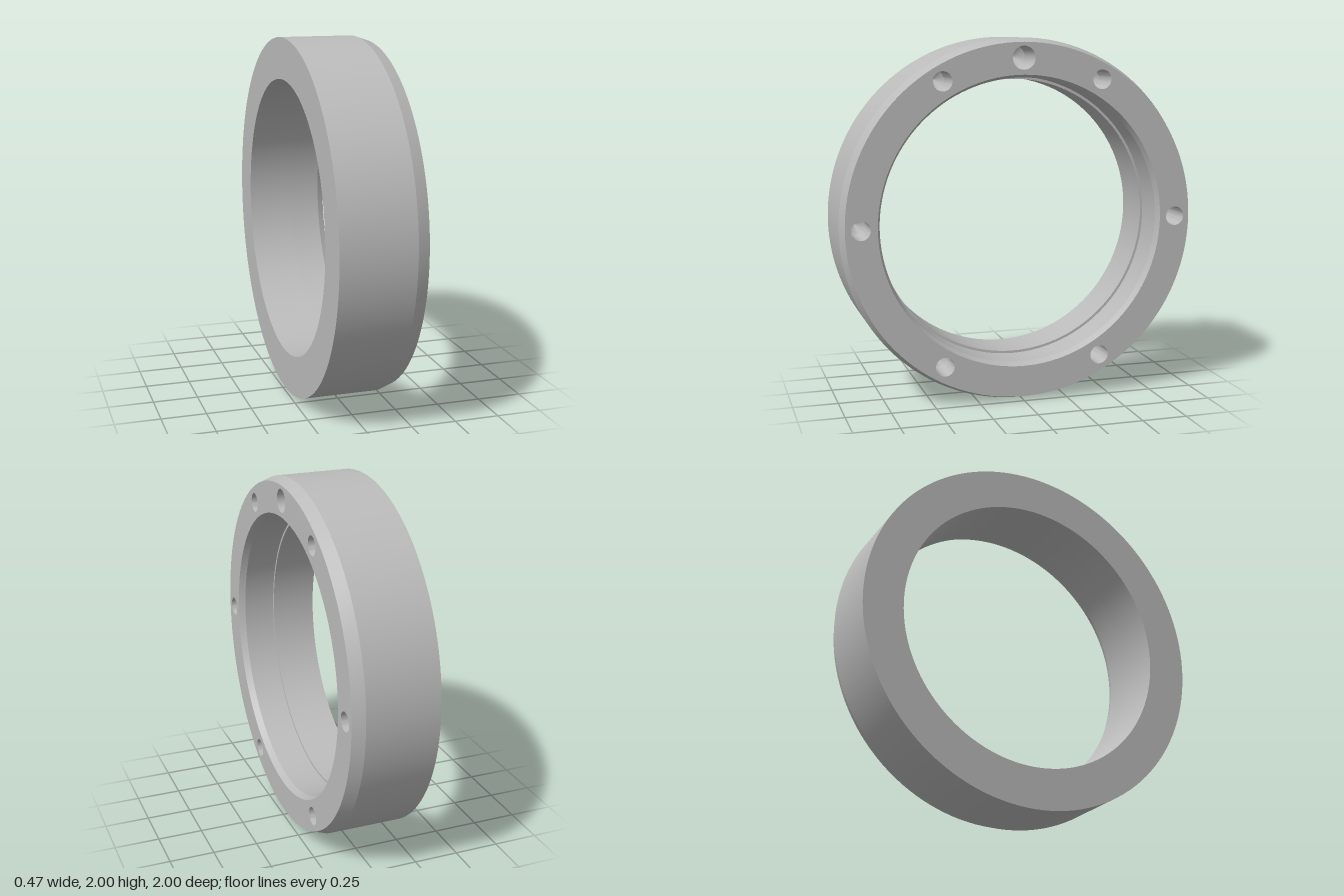
import * as THREE from 'three';
import { toCreasedNormals } from 'three/addons/utils/BufferGeometryUtils.js';

const SEGMENTS = 128;
const HALF = 0.237; // half the ring width along x
const RIM = 0.977; // outer edge of the front face
const BORE = 0.803; // inner edge of the front face

// Revolve [radius, x] pairs around the x axis, keeping hard edges
function revolve(profile, segments, crease = 0.3) {
  const points = profile.map(([r, x]) => new THREE.Vector2(r, x));
  const geometry = new THREE.LatheGeometry(points, segments);
  geometry.rotateZ(-Math.PI / 2);
  return toCreasedNormals(geometry, crease);
}

function circle(cx, cy, r, n) {
  return Array.from({ length: n }, (_, i) => {
    const a = (i / n) * Math.PI * 2;
    return new THREE.Vector2(cx + r * Math.cos(a), cy + r * Math.sin(a));
  });
}

export function createModel() {
  const group = new THREE.Group();
  group.name = 'boltRing';
  const metal = new THREE.MeshStandardMaterial({ color: 0xbbbbbb });
  metal.name = 'grey metal';

  const add = (name, geometry) => {
    const mesh = new THREE.Mesh(geometry, metal);
    mesh.name = name;
    mesh.position.y = 1;
    group.add(mesh);
    return mesh;
  };

  // Flat back, outer wall and outer chamfer
  add('outerShell', revolve(
    [[0.773, -HALF], [1, -HALF], [1, 0.17], [RIM, HALF]], SEGMENTS));

  // Chamfered counterbore stepping down to the narrower bore
  add('innerBore', revolve(
    [[BORE, HALF], [0.787, 0.2], [0.787, 0.02], [0.773, 0.02], [0.773, -HALF]], SEGMENTS));

  // Six bolt holes every 60 degrees and one larger hole at the top
  const holes = [{ angle: Math.PI / 2, radius: 0.064 }];
  for (let i = 0; i < 6; i++) holes.push({ angle: (i * Math.PI) / 3, radius: 0.053 });

  const face = new THREE.Shape(circle(0, 0, RIM, SEGMENTS));
  face.holes.push(new THREE.Path(circle(0, 0, BORE, SEGMENTS)));

  for (const { angle, radius } of holes) {
    const u = 0.893 * Math.cos(angle);
    const v = 0.893 * Math.sin(angle);
    face.holes.push(new THREE.Path(circle(u, v, radius, 32)));

    // Blind drilled pocket with a conical bottom
    const depth = 0.2;
    const pocket = add('drilledHole', revolve(
      [[radius, 0], [radius, -depth], [0, -depth - radius * 0.58]], 32, 0.5));
    pocket.position.set(HALF, 1 + v, -u);
  }

  // Front face, turned towards +x
  const faceGeometry = new THREE.ShapeGeometry(face);
  faceGeometry.rotateY(Math.PI / 2);
  faceGeometry.translate(HALF, 0, 0);
  add('drilledFace', faceGeometry);

  return group;
}
